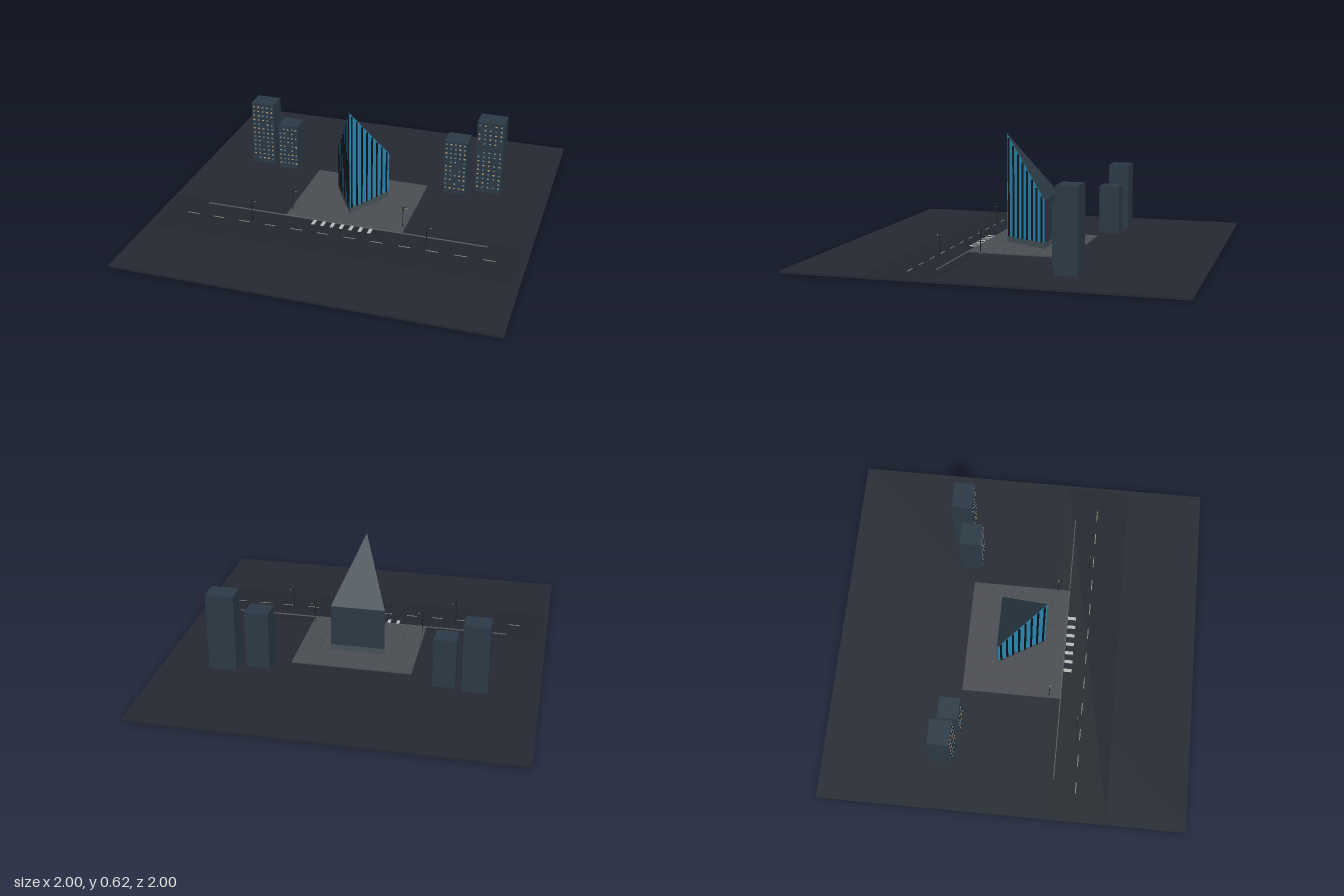
import * as THREE from 'three';

const mat = (color) => {
  const m = new THREE.MeshStandardMaterial();
  m.color.set(color);
  return m;
};
const M = {
  ground: mat(0x252932), road: mat(0x23272e), plaza: mat(0x4a4d52), joint: mat(0x404348),
  curb: mat(0x5a5e62), paint: mat(0xb8b8b8), dash: mat(0x8a8a80), block: mat(0x2b3a45),
  glass: mat(0x2a86b0), roof: mat(0x2b3a45), podium: mat(0x46525a), fin: mat(0x0c1116),
  lamp: mat(0x1c2024), warm: mat(0xd8a870), cool: mat(0x7890a0),
};

const GROUND = 0.012;
const BACK = -0.098, NOSE = 0.155, HALF = 0.148, LOW = 0.28, HIGH = 0.615;

export function createModel() {
  const root = new THREE.Group();

  // Box given by its min and max corners
  function box(name, material, x0, x1, y0, y1, z0, z1, parent = root) {
    const mesh = new THREE.Mesh(new THREE.BoxGeometry(x1 - x0, y1 - y0, z1 - z0), material);
    mesh.position.set((x0 + x1) / 2, (y0 + y1) / 2, (z0 + z1) / 2);
    mesh.name = name;
    parent.add(mesh);
    return mesh;
  }
  function group(name) {
    const g = new THREE.Group();
    g.name = name;
    root.add(g);
    return g;
  }

  // Ground, road and plaza
  box('ground', M.ground, -1, 1, 0, GROUND, -1, 1);
  box('road', M.road, -0.98, 0.98, GROUND, 0.014, 0.22, 0.57);
  box('plaza', M.plaza, -0.325, 0.325, GROUND, 0.018, -0.28, 0.268);
  box('curb', M.curb, -0.78, 0.78, GROUND, 0.019, 0.268, 0.273);

  // Paving joints
  const joints = group('pavingJoints');
  for (let i = -2; i <= 2; i++) {
    box('joint', M.joint, i * 0.108 - 0.001, i * 0.108 + 0.001, 0.017, 0.0184, -0.28, 0.268, joints);
    const z = -0.006 + i * 0.092;
    box('joint', M.joint, -0.325, 0.325, 0.017, 0.0184, z - 0.001, z + 0.001, joints);
  }

  // Road markings
  const markings = group('roadMarkings');
  for (let i = 0; i < 12; i++) {
    const x = (i - 5.5) * 0.148;
    box('laneDash', M.dash, x - 0.032, x + 0.032, 0.014, 0.0155, 0.392, 0.397, markings);
  }
  for (let i = -3; i <= 3; i++) {
    const x = i * 0.052;
    box('crossingStripe', M.paint, x - 0.009, x + 0.009, 0.014, 0.0165, 0.275, 0.32, markings);
  }

  // Triangular prism whose top height depends on z
  function prism(y0, topAt, grow) {
    const s = new THREE.Shape([
      new THREE.Vector2(-HALF - grow, -BACK + grow),
      new THREE.Vector2(0, -NOSE - grow),
      new THREE.Vector2(HALF + grow, -BACK + grow),
    ]);
    const g = new THREE.ExtrudeGeometry(s, { depth: 1, bevelEnabled: false });
    g.rotateX(-Math.PI / 2);
    const p = g.attributes.position;
    for (let i = 0; i < p.count; i++) p.setY(i, p.getY(i) > 0.5 ? topAt(p.getZ(i)) : y0);
    g.computeVertexNormals();
    return g;
  }
  const slope = (z) => LOW + ((z - BACK) / (NOSE - BACK)) * (HIGH - LOW);

  // Wedge tower with a slanted roof
  const tower = group('tower');
  const podium = new THREE.Mesh(prism(0.018, () => 0.05, 0.001), M.podium);
  podium.name = 'towerPodium';
  const body = new THREE.Mesh(prism(0.05, slope, 0), [M.roof, M.glass]);
  body.name = 'towerBody';
  tower.add(podium, body);
  box('towerBackWall', M.roof, -HALF, HALF, 0.05, LOW, BACK - 0.002, BACK + 0.001, tower);

  // Vertical fins on both glazed sides
  for (const side of [-1, 1]) {
    for (let i = 0; i < 8; i++) {
      const x = 0.008 + i * 0.0185;
      const z = NOSE - (x / HALF) * (NOSE - BACK);
      box('fin', M.fin, side * x - 0.003, side * x + 0.003, 0.05, slope(z) - 0.006, z - 0.004, z + 0.007, tower);
    }
  }

  // Background blocks with lit windows on the front
  let seed = 7;
  const rnd = () => (seed = (seed * 16807) % 2147483647) / 2147483647;
  const blocks = [
    [-0.738, -0.603, 0.39, -0.4, -0.285],
    [-0.567, -0.45, 0.283, -0.375, -0.262],
    [0.422, 0.55, 0.33, -0.365, -0.246],
    [0.588, 0.738, 0.443, -0.422, -0.31],
  ];
  for (const [x0, x1, top, z0, z1] of blocks) {
    const g = group('officeBlock');
    box('blockBody', M.block, x0, x1, GROUND, top, z0, z1, g);
    const cols = 5, step = (x1 - x0) / cols;
    for (let y = 0.04; y < top - 0.015; y += 0.027) {
      for (let c = 0; c < cols; c++) {
        const r = rnd();
        if (r < 0.15) continue;
        const x = x0 + (c + 0.5) * step;
        box('window', r < 0.55 ? M.warm : M.cool, x - 0.005, x + 0.005, y, y + 0.007, z1 - 0.001, z1 + 0.001, g);
      }
    }
  }

  // Street lamps, arms all pointing the same way
  for (const [x, z] of [[-0.31, 0.205], [0.31, 0.205], [-0.48, 0.37], [0.48, 0.37]]) {
    const g = group('streetLamp');
    const pole = new THREE.Mesh(new THREE.CylinderGeometry(0.0018, 0.0022, 0.122, 8), M.lamp);
    pole.position.set(x, 0.074, z);
    pole.name = 'lampPole';
    g.add(pole);
    box('lampArm', M.lamp, x, x + 0.022, 0.133, 0.136, z - 0.0015, z + 0.0015, g);
    box('lampHead', M.warm, x + 0.014, x + 0.024, 0.131, 0.1335, z - 0.003, z + 0.003, g);
  }

  return root;
}
